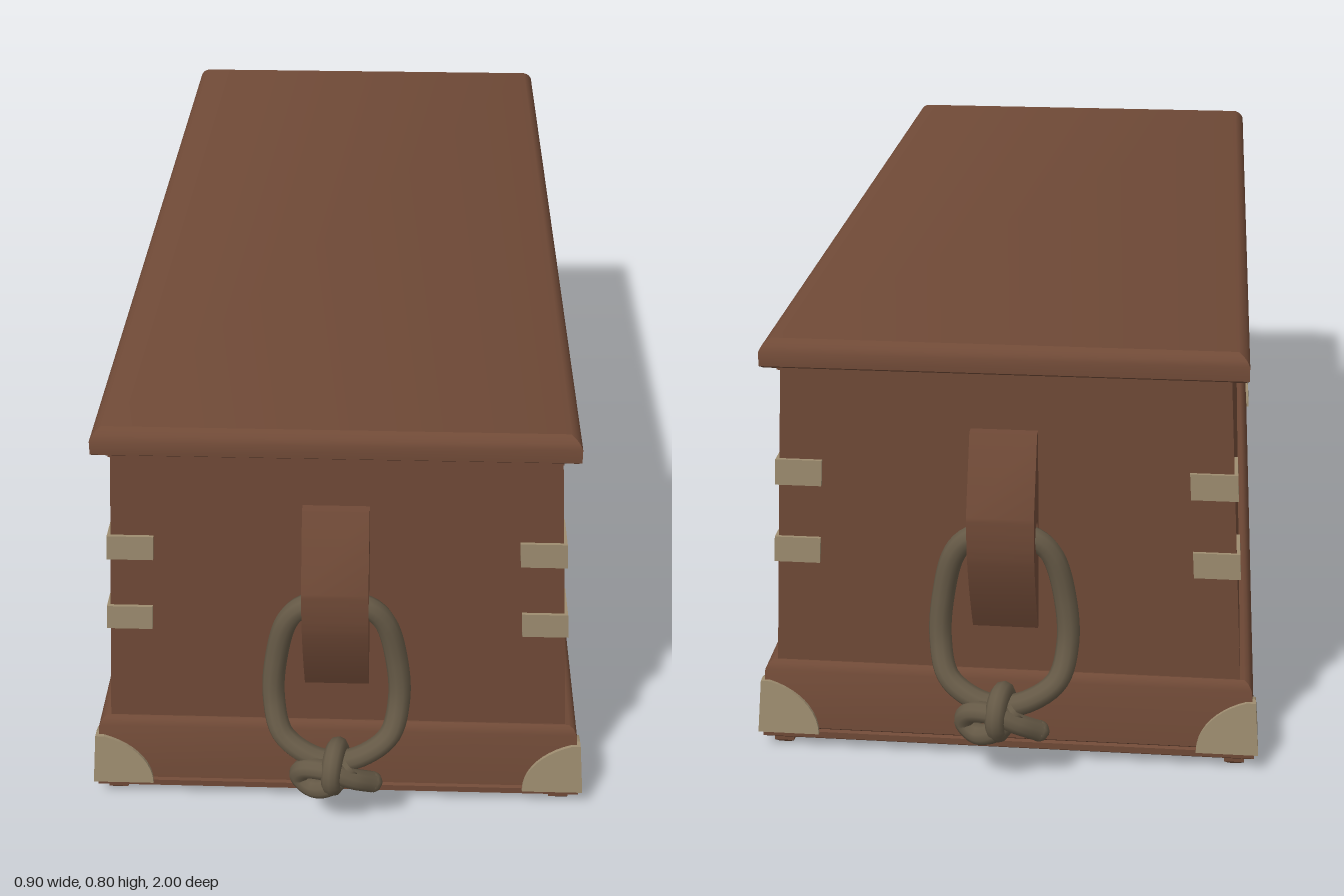
import * as THREE from 'three';
import { toCreasedNormals } from 'three/addons/utils/BufferGeometryUtils.js';

const wood = new THREE.MeshStandardMaterial({ color: 0x704a37 });
wood.name = 'wood brown';
const metal = new THREE.MeshStandardMaterial({ color: 0x9e8d70 });
metal.name = 'dull brass';
const ropeMat = new THREE.MeshStandardMaterial({ color: 0x655946 });
rope_name();
function rope_name() { ropeMat.name = 'old rope'; }

function add(parent, name, geometry, material) {
  const mesh = new THREE.Mesh(geometry, material);
  mesh.name = name;
  parent.add(mesh);
  return mesh;
}

// Stack of rectangular sections [y, halfX, halfZ], bottom to top, closed at both ends
function tiers(sections) {
  const pos = [], idx = [];
  for (const [y, hx, hz] of sections) pos.push(-hx, y, hz, hx, y, hz, hx, y, -hz, -hx, y, -hz);
  for (let i = 0; i < sections.length - 1; i++) {
    for (let k = 0; k < 4; k++) {
      const a = i * 4 + k, b = i * 4 + (k + 1) % 4;
      idx.push(a, b, b + 4, a, b + 4, a + 4);
    }
  }
  const t = (sections.length - 1) * 4;
  idx.push(0, 2, 1, 0, 3, 2, t, t + 1, t + 2, t, t + 2, t + 3);
  const g = new THREE.BufferGeometry();
  g.setAttribute('position', new THREE.Float32BufferAttribute(pos, 3));
  g.setIndex(idx);
  return toCreasedNormals(g, 0.6);
}

// Half-sizes of the tapered body and of the plinth at height y
const bodyX = (y) => 0.415 - 0.06 * (y - 0.17);
const plinthX = (y) => 0.445 - 0.08 * (y - 0.045);
const plinthZ = (y) => 0.878 - 0.08 * (y - 0.045);

// Thin plate on one face beside a corner; shape x runs inward from the corner
function cornerPlate(shape, depth, hx, hz, onEnd, sx, sz) {
  const g = new THREE.ExtrudeGeometry(shape, { depth, bevelEnabled: false, curveSegments: 10 });
  const p = g.attributes.position, pts = [];
  for (let i = 0; i < p.count; i++) {
    const u = p.getX(i), y = p.getY(i), d = p.getZ(i);
    pts.push(onEnd
      ? new THREE.Vector3(sx * (hx(y) - u), y, sz * (hz(y) + d))
      : new THREE.Vector3(sx * (hx(y) + d), y, sz * (hz(y) - u)));
  }
  // Keep faces pointing outward on mirrored corners
  if ((onEnd ? -1 : 1) * sx * sz < 0) {
    for (let i = 0; i < pts.length; i += 3) [pts[i + 1], pts[i + 2]] = [pts[i + 2], pts[i + 1]];
  }
  const out = new THREE.BufferGeometry().setFromPoints(pts);
  out.computeVertexNormals();
  return out;
}

function strapShape(y0, y1, start) {
  const s = new THREE.Shape();
  s.moveTo(start, y0);
  s.lineTo(0.075, y0);
  s.lineTo(0.075, y1);
  s.lineTo(start, y1);
  return s;
}

function bracketShape(start) {
  const s = new THREE.Shape();
  s.moveTo(start, 0.036);
  s.lineTo(0.105, 0.036);
  s.bezierCurveTo(0.102, 0.085, 0.06, 0.122, 0.01, 0.137);
  s.lineTo(start, 0.137);
  return s;
}

function tube(points, radius, closed, segments) {
  const curve = new THREE.CatmullRomCurve3(points.map((p) => new THREE.Vector3(...p)), closed);
  return new THREE.TubeGeometry(curve, segments, radius, 10, closed);
}

// End handle: wooden cleat with a rope ring and knot, facing +z
function makeHandle() {
  const handle = new THREE.Group();
  handle.name = 'handle';

  // Cleat side profile drawn as (z, y), with a hole for the rope
  const s = new THREE.Shape();
  s.moveTo(0.85, 0.265);
  s.lineTo(0.868, 0.265);
  s.quadraticCurveTo(0.918, 0.36, 0.932, 0.43);
  s.quadraticCurveTo(0.937, 0.465, 0.935, 0.505);
  s.lineTo(0.874, 0.636);
  s.lineTo(0.85, 0.636);
  const hole = new THREE.Path();
  hole.absarc(0.887, 0.455, 0.026, 0, Math.PI * 2, true);
  s.holes.push(hole);
  const g = new THREE.ExtrudeGeometry(s, { depth: 0.115, bevelEnabled: false, curveSegments: 10 });
  g.rotateY(-Math.PI / 2); // (z, y, depth) to (x, y, z)
  g.translate(0.0575, 0, 0);
  add(handle, 'handleCleat', toCreasedNormals(g, 0.5), wood);

  // Rope ring, hanging through the cleat
  const side = [[0.055, 0.447, 0.886], [0.085, 0.415, 0.884], [0.107, 0.33, 0.882],
    [0.112, 0.25, 0.892], [0.096, 0.19, 0.918], [0.05, 0.16, 0.938]];
  const ring = [[0, 0.455, 0.886], ...side, [0, 0.15, 0.945],
    ...side.map(([x, y, z]) => [-x, y, z]).reverse()];
  add(handle, 'ropeRing', tube(ring, 0.02, true, 80), ropeMat);

  // Knot: a sideways lobe with a tail, bound by an upright turn
  const tail = [[0.066, 0.104, 0.945], [0.03, 0.128, 0.965], [-0.015, 0.148, 0.968],
    [-0.055, 0.14, 0.955], [-0.064, 0.115, 0.945], [-0.042, 0.099, 0.955],
    [-0.01, 0.112, 0.968], [0.03, 0.15, 0.955]];
  add(handle, 'knotLobe', tube(tail, 0.019, false, 60), ropeMat);
  const end = add(handle, 'knotTail', new THREE.SphereGeometry(0.019, 10, 8), ropeMat);
  end.position.set(...tail[0]);
  const turn = add(handle, 'knotTurn', new THREE.TorusGeometry(0.034, 0.018, 10, 24), ropeMat);
  turn.rotation.set(0, Math.PI / 2 - 0.2, 0);
  turn.scale.y = 1.05;
  turn.position.set(0, 0.14, 0.947);
  return handle;
}

export function createModel() {
  const chest = new THREE.Group();
  chest.name = 'chest';

  // Body, plinth and lid
  add(chest, 'body', tiers([[0.16, bodyX(0.16), 0.856], [0.75, bodyX(0.75), 0.856]]), wood);
  add(chest, 'plinth', tiers([
    [0.018, 0.438, 0.868], [0.024, 0.445, 0.876], [0.036, 0.445, 0.876], [0.04, 0.44, 0.872],
    [0.045, 0.445, 0.878], [0.157, plinthX(0.157), plinthZ(0.157)],
    [0.168, 0.43, 0.864], [0.173, 0.422, 0.858],
  ]), wood);
  add(chest, 'lid', tiers([
    [0.745, 0.403, 0.883], [0.75, 0.409, 0.89], [0.775, 0.409, 0.89],
    [0.784, 0.404, 0.885], [0.79, 0.398, 0.879], [0.795, 0.39, 0.872],
  ]), wood);

  // Runners under the long sides
  for (const sx of [-1, 1]) {
    const runner = add(chest, 'runner', tiers([
      [0, 0.01, 0.855], [0.007, 0.018, 0.862], [0.02, 0.018, 0.862]]), wood);
    runner.position.x = sx * 0.41;
  }

  // Triangular battens under the lid ends
  const batten = new THREE.Shape();
  batten.moveTo(-0.38, 0.75);
  batten.lineTo(-0.38, 0.743);
  batten.lineTo(-0.03, 0.686);
  batten.quadraticCurveTo(0, 0.68, 0.03, 0.686);
  batten.lineTo(0.38, 0.743);
  batten.lineTo(0.38, 0.75);
  for (const z of [0.855, -0.885]) {
    const g = new THREE.ExtrudeGeometry(batten, { depth: 0.03, bevelEnabled: false });
    g.translate(0, 0, z);
    add(chest, 'lidBatten', g, wood);
  }

  // Metal straps and rounded brackets on all four corners
  for (const sx of [-1, 1]) {
    for (const sz of [-1, 1]) {
      for (const onEnd of [true, false]) {
        for (const [y0, y1] of [[0.372, 0.42], [0.52, 0.568]]) {
          add(chest, 'cornerStrap', cornerPlate(strapShape(y0, y1, onEnd ? -0.006 : 0),
            0.006, bodyX, () => 0.856, onEnd, sx, sz), metal);
        }
        add(chest, 'cornerBracket', cornerPlate(bracketShape(onEnd ? -0.006 : 0),
          0.006, plinthX, plinthZ, onEnd, sx, sz), metal);
      }
    }
  }

  // Rope handles at both ends
  const front = makeHandle();
  const back = makeHandle();
  back.rotation.y = Math.PI;
  chest.add(front, back);
  return chest;
}
